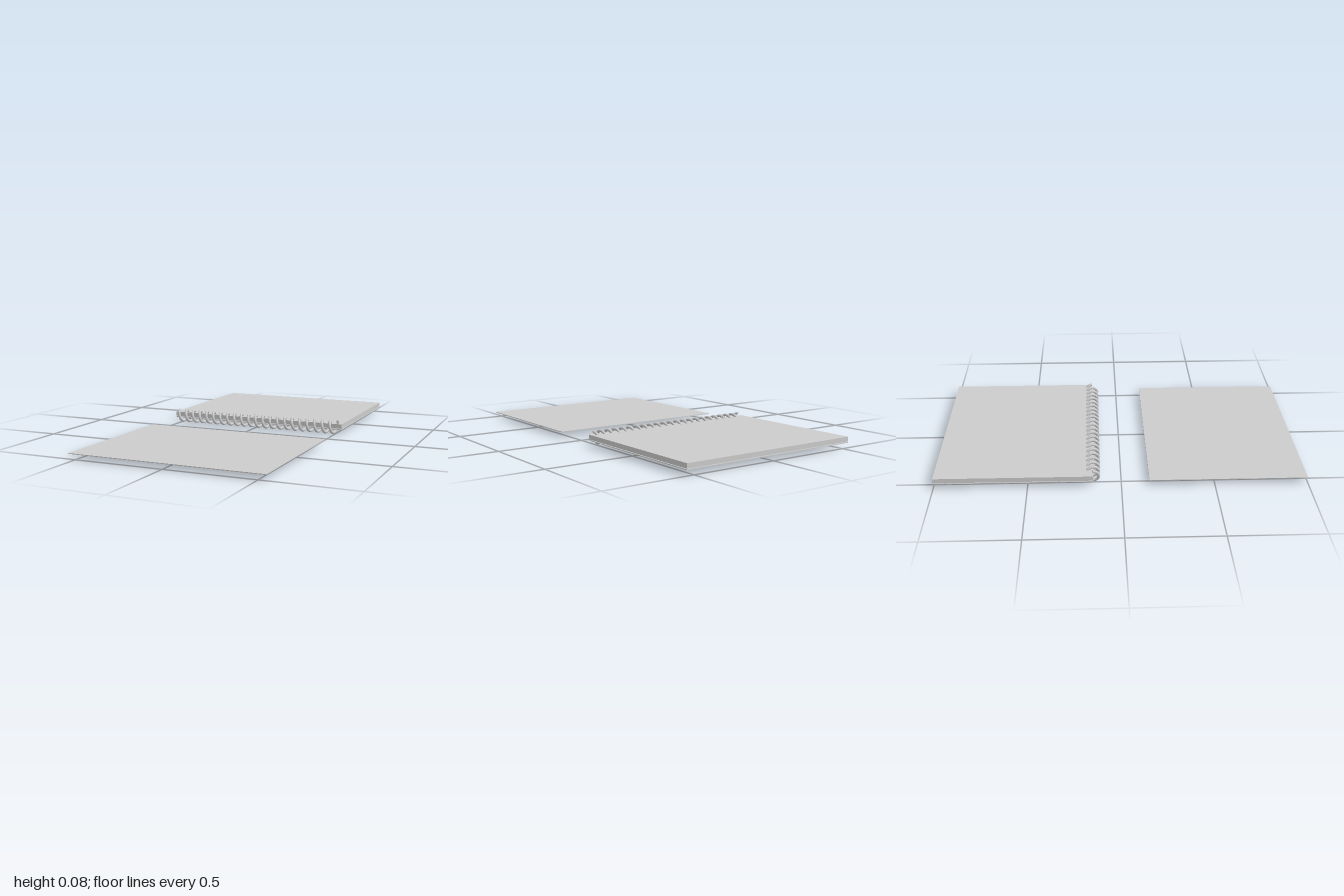
import * as THREE from 'three';

const material = new THREE.MeshStandardMaterial({ color: 0xcccccc });

// Coil axis runs along x, beside the spine of the page block
class Helix extends THREE.Curve {
  constructor(radius, length, turns, y, z) {
    super();
    Object.assign(this, { radius, length, turns, y, z });
  }
  getPoint(t, target = new THREE.Vector3()) {
    const a = t * this.turns * Math.PI * 2;
    return target.set(
      (t - 0.5) * this.length,
      this.y + this.radius * Math.cos(a),
      this.z + this.radius * Math.sin(a)
    );
  }
}

function slab(name, y0, y1, z0, z1) {
  const mesh = new THREE.Mesh(new THREE.BoxGeometry(1.08, y1 - y0, z1 - z0), material);
  mesh.position.set(0, (y0 + y1) / 2, (z0 + z1) / 2);
  mesh.name = name;
  return mesh;
}

export function createModel() {
  const model = new THREE.Group();
  model.name = 'spiralNotebook';

  // Page block, back cover beneath it and the detached front cover
  model.add(slab('pages', 0.034, 0.06, -1, -0.15));
  model.add(slab('backCover', 0.027, 0.031, -1, -0.15));
  model.add(slab('frontCover', 0.027, 0.031, 0.15, 1));

  // Wire binding
  const binding = new THREE.Group();
  binding.name = 'spiralBinding';
  const wireRadius = 0.008;
  const turns = 22;
  const helix = new Helix(0.033, 1.028, turns, 0.041, -0.153);
  helix.arcLengthDivisions = turns * 40;
  const coil = new THREE.Mesh(new THREE.TubeGeometry(helix, turns * 24, wireRadius, 10), material);
  coil.name = 'coil';
  binding.add(coil);

  // Flat wire ends
  for (const t of [0, 1]) {
    const cap = new THREE.Mesh(new THREE.CircleGeometry(wireRadius, 10), material);
    const outward = helix.getTangent(t).multiplyScalar(t ? 1 : -1);
    cap.position.copy(helix.getPoint(t));
    cap.quaternion.setFromUnitVectors(new THREE.Vector3(0, 0, 1), outward);
    cap.name = t ? 'leftWireEnd' : 'rightWireEnd';
    binding.add(cap);
  }
  model.add(binding);
  return model;
}
